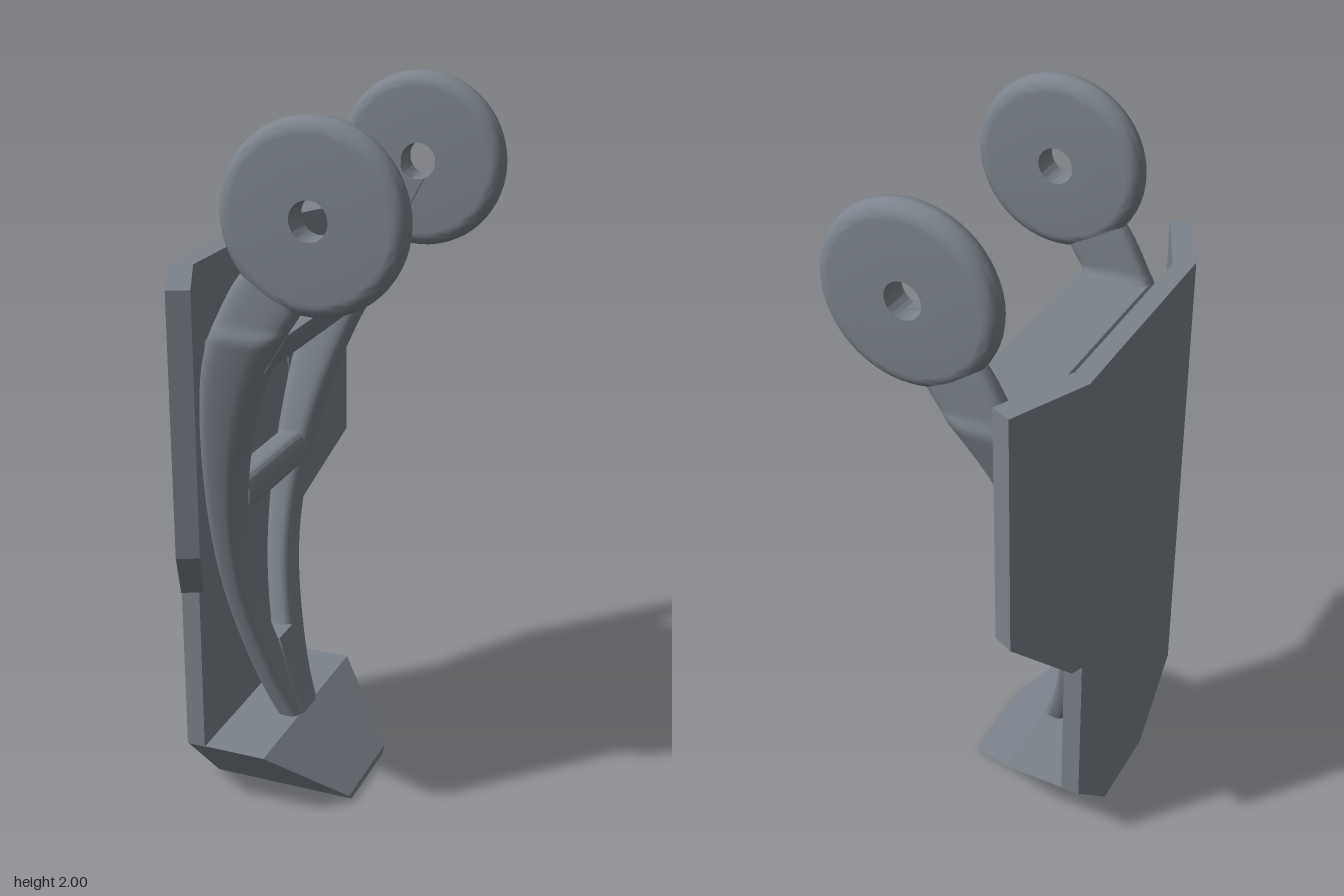
import * as THREE from 'three';
import { toCreasedNormals } from 'three/addons/utils/BufferGeometryUtils.js';

const material = new THREE.MeshStandardMaterial({ color: 0x7c838c });
const V2 = (x, y) => new THREE.Vector2(x, y);

// Reflect a geometry across z = 0, keeping its faces outward.
function mirrorZ(source) {
  const g = source.index ? source.toNonIndexed() : source.clone();
  for (const name of ['position', 'normal']) {
    const a = g.attributes[name];
    for (let i = 0; i < a.count; i += 3) {
      const v = [0, 2, 1].map((k) => new THREE.Vector3().fromBufferAttribute(a, i + k));
      v.forEach((p, k) => a.setXYZ(i + k, p.x, p.y, -p.z));
    }
  }
  return g;
}

// Side profile in x, y swept across the width.
function acrossZ(shape, half, centre = 0) {
  const g = new THREE.ExtrudeGeometry(shape, { depth: half * 2, bevelEnabled: false, curveSegments: 10 });
  return toCreasedNormals(g.translate(0, 0, centre - half), 0.6);
}
const polygon = (pts) => new THREE.Shape(pts.map((p) => V2(...p)));

// Wedge foot: three stacked rectangles [y, front x, half width].
function footGeometry() {
  const levels = [[0, 0.09, 0.13], [0.02, 0.09, 0.149], [0.2, -0.1, 0.32]];
  const back = -0.333, pos = [], idx = [];
  for (const [y, f, w] of levels) pos.push(back, y, w, f, y, w, f, y, -w, back, y, -w);
  for (let l = 0; l < 2; l++) {
    for (let k = 0; k < 4; k++) {
      const a = l * 4 + k, b = l * 4 + (k + 1) % 4;
      idx.push(a, b, b + 4, a, b + 4, a + 4);
    }
  }
  idx.push(0, 3, 2, 0, 2, 1, 8, 9, 10, 8, 10, 11);
  const g = new THREE.BufferGeometry();
  g.setAttribute('position', new THREE.Float32BufferAttribute(pos, 3));
  g.setIndex(idx);
  return toCreasedNormals(g, 0.1);
}

// Angled side wing, with its lower outer corner cut off.
function wingGeometry() {
  const t = 0.061;
  const g = new THREE.ExtrudeGeometry(
    polygon([[0, 0.69], [0.035, 0.69], [0.237, 0.885], [0.237, 1.588], [0, 1.588]]),
    { depth: t, bevelEnabled: false });
  g.translate(0, 0, -t);
  const along = new THREE.Vector3(0.1, 0, 0.215).normalize();
  const up = new THREE.Vector3(0, 1, 0);
  g.applyMatrix4(new THREE.Matrix4().makeBasis(along, up, along.clone().cross(up)));
  return g.translate(-0.333, 0, 0.322);
}

// Curved, tapering arm between a front and a back edge. It leans outward as it
// rises, then turns upright into a thinner neck at z = neckZ.
function armGeometry(neckZ) {
  const curve = (pts) => new THREE.CatmullRomCurve3(pts.map(([x, y]) => new THREE.Vector3(x, y, 0)));
  const front = curve([[-0.055, 0.12], [-0.097, 0.2], [-0.15, 0.36], [-0.2, 0.65], [-0.175, 0.97],
    [-0.085, 1.27], [0.008, 1.45], [0.053, 1.52], [0.09, 1.61]]);
  const back = curve([[-0.125, 0.12], [-0.17, 0.2], [-0.225, 0.36], [-0.278, 0.65], [-0.28, 0.99],
    [-0.23, 1.34], [-0.165, 1.5], [-0.1, 1.61], [-0.03, 1.67]]);
  const rows = 96, sides = 28, pos = [], idx = [];
  const round = (v) => Math.sign(v) * Math.abs(v) ** 0.65;
  for (let i = 0; i <= rows; i++) {
    const f = front.getPoint(i / rows), b = back.getPoint(i / rows);
    for (let j = 0; j < sides; j++) {
      const a = (j / sides) * Math.PI * 2;
      const p = b.clone().lerp(f, 0.5 + 0.5 * round(Math.cos(a)));
      const neck = THREE.MathUtils.smoothstep(p.y, 1.43, 1.48);
      const half = THREE.MathUtils.lerp(0.0575, 0.036, neck);
      const z = THREE.MathUtils.lerp(0.025 + (neckZ - 0.035) * (p.y - 0.2) / 1.25, neckZ, neck);
      pos.push(p.x, p.y, z + half * round(Math.sin(a)));
    }
  }
  for (let i = 0; i < rows; i++) {
    for (let j = 0; j < sides; j++) {
      const a = i * sides + j, b = i * sides + (j + 1) % sides;
      idx.push(a, a + sides, b, b, a + sides, b + sides);
    }
  }
  const g = new THREE.BufferGeometry();
  g.setAttribute('position', new THREE.Float32BufferAttribute(pos, 3));
  g.setIndex(idx);
  g.computeVertexNormals();
  return g;
}

// Disc with a rounded rim and a central hole, its axis along z.
function eyeletGeometry(z) {
  const pts = [V2(0.05, -0.04)];
  for (let i = 0; i <= 12; i++) {
    const a = -Math.PI / 2 + (i / 12) * Math.PI;
    pts.push(V2(0.202 + 0.04 * Math.cos(a), 0.04 * Math.sin(a)));
  }
  pts.push(V2(0.05, 0.04), V2(0.05, -0.04));
  const g = toCreasedNormals(new THREE.LatheGeometry(pts, 56), 0.6);
  return g.rotateX(Math.PI / 2).translate(0.09, 1.758, z);
}

export function createModel() {
  const model = new THREE.Group();
  const add = (name, geometry) => {
    const mesh = new THREE.Mesh(geometry, material);
    mesh.name = name;
    model.add(mesh);
  };

  // Back shell and foot
  add('backPlate', new THREE.BoxGeometry(0.053, 1.388, 0.644).translate(-0.3065, 0.894, 0));
  add('foot', footGeometry());
  const wing = wingGeometry();
  add('sideWingLeft', wing);
  add('sideWingRight', mirrorZ(wing));

  // Arms and eyelets; the right pair stands slightly further out
  add('armLeft', armGeometry(0.385));
  add('armRight', mirrorZ(armGeometry(0.4)));
  add('eyeletLeft', eyeletGeometry(0.386));
  add('eyeletRight', eyeletGeometry(-0.403));

  // Raised strap on the inner face of the right eyelet
  add('eyeletStrap', acrossZ(polygon([[-0.06, 1.5], [-0.01, 1.48], [0.11, 1.711], [0.075, 1.71],
    [0.05, 1.727], [0.041, 1.745]]), 0.02, -0.372));

  // Cross members
  const upper = new THREE.Shape();
  upper.moveTo(-0.185, 1.459);
  upper.lineTo(-0.21, 1.42);
  upper.lineTo(-0.212, 1.37);
  upper.quadraticCurveTo(-0.212, 1.34, -0.185, 1.34);
  upper.lineTo(-0.09, 1.34);
  upper.quadraticCurveTo(-0.055, 1.34, -0.042, 1.365);
  upper.lineTo(0.014, 1.459);
  add('upperCrossbar', acrossZ(upper, 0.38));

  const middle = new THREE.Shape();
  middle.moveTo(-0.24, 0.87);
  middle.lineTo(-0.225, 0.87);
  middle.quadraticCurveTo(-0.188, 0.87, -0.186, 0.925);
  middle.quadraticCurveTo(-0.18, 0.98, -0.217, 0.98);
  middle.lineTo(-0.24, 0.98);
  middle.quadraticCurveTo(-0.28, 0.98, -0.28, 0.925);
  middle.quadraticCurveTo(-0.28, 0.87, -0.24, 0.87);
  add('middleCrossbar', acrossZ(middle, 0.19));

  // Web filling the narrow bottom of the frame, flush with the arms
  add('lowerWeb', acrossZ(polygon([[-0.155, 0.17], [-0.082, 0.17], [-0.097, 0.2], [-0.127, 0.28],
    [-0.15, 0.36], [-0.167, 0.43], [-0.24, 0.43], [-0.225, 0.36], [-0.2, 0.28]]), 0.045));

  return model;
}
